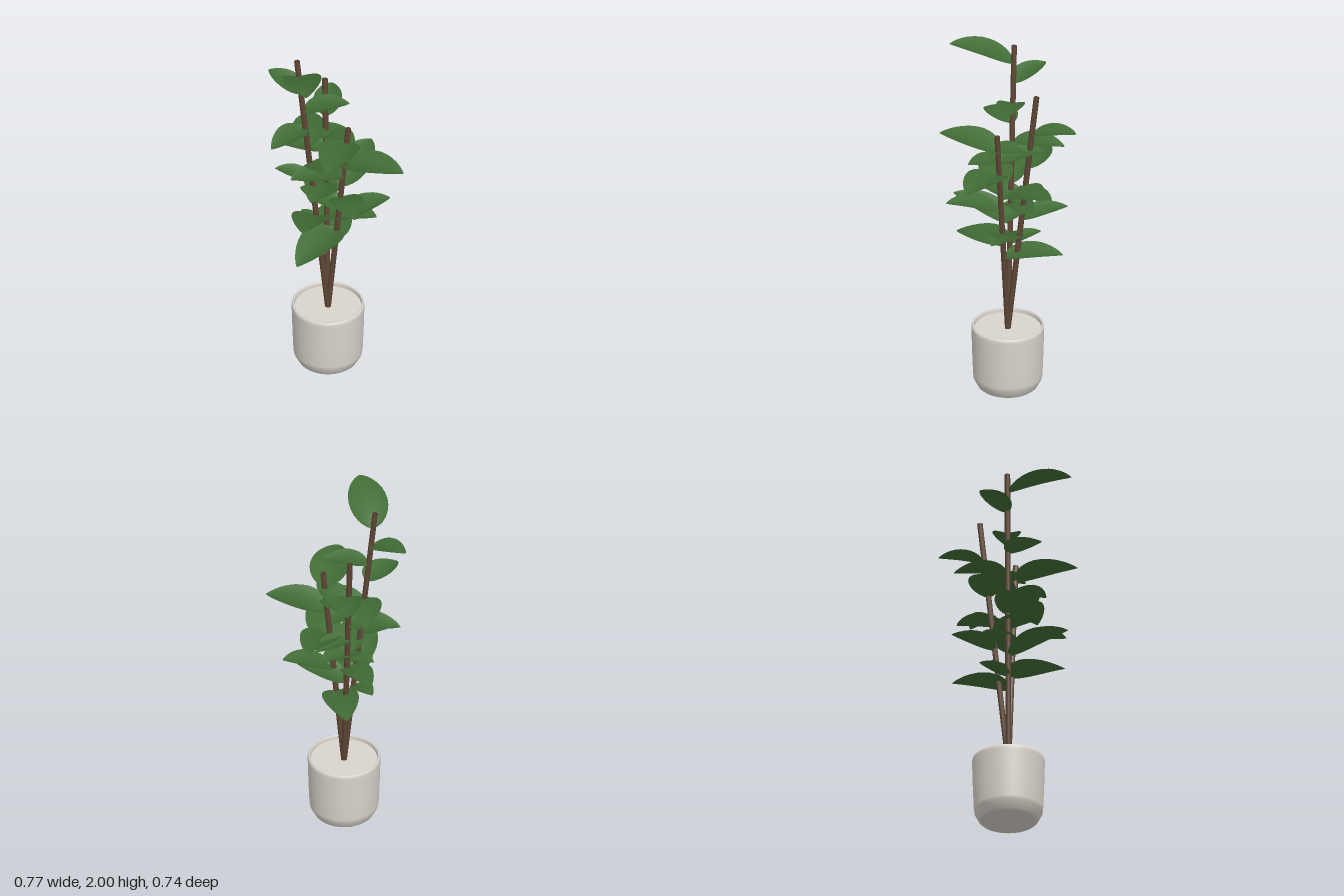
import * as THREE from 'three';

const leafGreen = new THREE.MeshStandardMaterial({ color: 0x416c35, side: THREE.DoubleSide });
leafGreen.name = 'leaf green';
const barkBrown = new THREE.MeshStandardMaterial({ color: 0x5e4635, side: THREE.DoubleSide });
barkBrown.name = 'bark brown';
const potWhite = new THREE.MeshStandardMaterial({ color: 0xd9d4cb });
potWhite.name = 'pot white';

const POT_X = -0.046, POT_Z = 0.005, SOIL_Y = 0.35;
const GOLDEN_ANGLE = 137.5;

// Each stem: tip, direction of its top leaf (degrees), height of that leaf,
// spacing downwards, then [length, rise] for every leaf from the top down
const STEMS = [
  {
    tip: [-0.213, 1.985, 0.02], azimuth: 75, top: 1.885, step: 0.116,
    leaves: [[0.347, 0.11], [0.23, 0.05], [0.25, 0.045], [0.255, -0.01], [0.29, 0.01],
      [0.27, 0.06], [0.2, 0.06], [0.25, 0.04], [0.33, 0.12], [0.18, 0.04]],
  },
  {
    tip: [-0.085, 1.76, -0.145], azimuth: 269, top: 1.53, step: 0.103,
    leaves: [[0.25, 0.04], [0.26, 0.05], [0.285, 0.01], [0.21, 0],
      [0.27, 0.05], [0.26, 0.04], [0.29, 0.07]],
  },
  {
    tip: [0.068, 1.57, 0.03], azimuth: 99, top: 1.475, step: 0.075,
    leaves: [[0.35, 0.035], [0.25, 0.04], [0.345, 0.035], [0.3, 0.045], [0.34, 0.095],
      [0.3, 0.06], [0.25, 0.04], [0.285, 0.105], [0.355, -0.04], [0.32, 0.025]],
  },
];

// Pointed oval blade along +x, arched along its length and cupped across its width
function leafGeometry(length, rise) {
  const geo = new THREE.PlaneGeometry(2, 1, 6, 14);
  const p = geo.attributes.position;
  const arch = 0.22;
  const slope = rise / length + arch;
  for (let i = 0; i < p.count; i++) {
    const side = p.getX(i);
    const t = (1 - Math.cos(Math.PI * (p.getY(i) + 0.5))) / 2;
    const outline = Math.sqrt(t) * Math.pow(Math.max(0, 1 - t), 0.82) / 0.416;
    const half = 0.305 * length * outline + 0.001;
    const r = t * length;
    const y = slope * r - arch * r * t + 0.27 * half * side * side;
    p.setXYZ(i, r, y, side * half);
  }
  geo.computeVertexNormals();
  return geo;
}

function createPot() {
  const pot = new THREE.Group();
  pot.name = 'pot';
  // Base, sloping foot, outer wall, rounded rim and inner wall
  const profile = [
    [0, 0], [0.15, 0.002], [0.162, 0.012], [0.184, 0.054],
    [0.187, 0.075], [0.192, 0.2], [0.196, 0.345], [0.196, 0.36], [0.194, 0.369],
    [0.189, 0.375], [0.184, 0.374], [0.181, 0.369], [0.18, SOIL_Y - 0.01],
  ].map(([r, y]) => new THREE.Vector2(r, y));
  const wall = new THREE.Mesh(new THREE.LatheGeometry(profile, 48), potWhite);
  wall.name = 'potWall';
  // Flat filling inside the rim
  const filling = new THREE.Mesh(new THREE.CircleGeometry(0.181, 48), potWhite);
  filling.name = 'potFilling';
  filling.rotation.x = -Math.PI / 2;
  filling.position.y = SOIL_Y;
  pot.add(wall, filling);
  pot.position.set(POT_X, 0, POT_Z);
  return pot;
}

function createBranch({ tip, azimuth, top, step, leaves }) {
  const branch = new THREE.Group();
  branch.name = 'branch';
  const path = new THREE.LineCurve3(
    new THREE.Vector3(POT_X, SOIL_Y - 0.01, POT_Z), new THREE.Vector3(...tip));
  const stem = new THREE.Mesh(new THREE.TubeGeometry(path, 4, 0.0155, 10), barkBrown);
  stem.name = 'stem';
  branch.add(stem);

  // Leaves spiral down the stem
  leaves.forEach(([length, rise], i) => {
    const y = top - i * step;
    const leaf = new THREE.Mesh(leafGeometry(length, rise), leafGreen);
    leaf.name = 'leaf';
    leaf.position.copy(path.getPoint((y - path.v1.y) / (path.v2.y - path.v1.y)));
    leaf.rotation.y = -THREE.MathUtils.degToRad(azimuth + i * GOLDEN_ANGLE);
    branch.add(leaf);
  });
  return branch;
}

export function createModel() {
  const plant = new THREE.Group();
  plant.name = 'pottedPlant';
  plant.add(createPot());
  STEMS.forEach((s) => plant.add(createBranch(s)));
  return plant;
}
